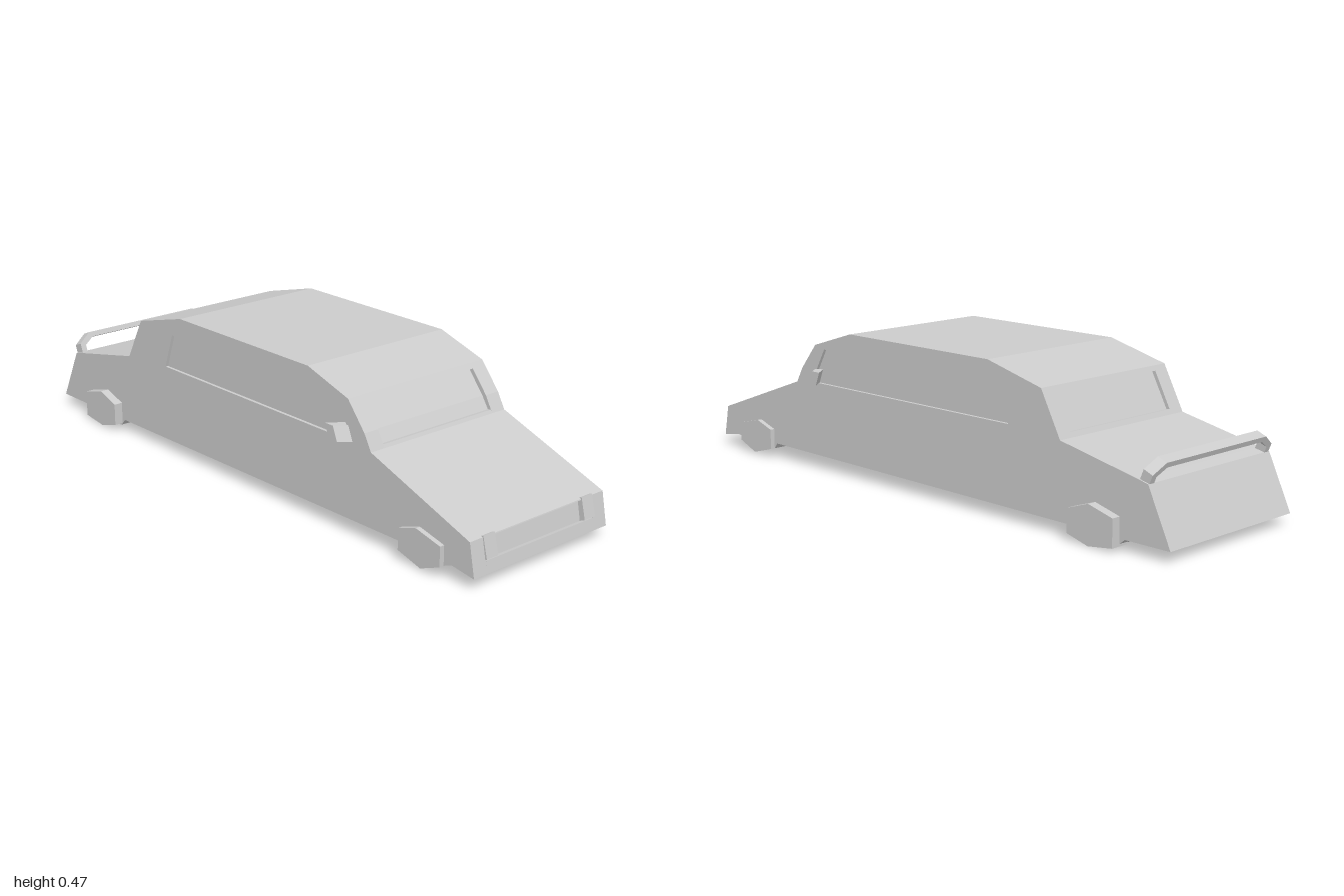
import * as THREE from 'three';

const material = new THREE.MeshStandardMaterial({ color: 0xcccccc, flatShading: true });

const toShape = (points) => new THREE.Shape(points.map(([x, y]) => new THREE.Vector2(x, y)));

// Extrudes a side outline (x, y) between two z positions
function slab(name, points, z0, z1, hole) {
  const shape = toShape(points);
  if (hole) shape.holes.push(toShape(hole));
  const geometry = new THREE.ExtrudeGeometry(shape, { depth: z1 - z0, bevelEnabled: false });
  geometry.translate(0, 0, z0);
  const mesh = new THREE.Mesh(geometry, material);
  mesh.name = name;
  return mesh;
}

// Same slab on the given side of the car (+1 left in z, -1 opposite)
const sideSlab = (name, points, side, inner, outer, hole) =>
  slab(name, points, side > 0 ? inner : -outer, side > 0 ? outer : -inner, hole);

// Underside, from tail to nose, dipping around both axles
const underside = [
  [-1, 0.035], [-0.84, 0.035], [-0.815, 0.015], [-0.73, 0.003], [-0.655, 0.015], [-0.635, 0.037],
  [0.705, 0.049], [0.72, 0.03], [0.81, 0.007], [0.885, 0.035], [0.915, 0.047], [1, 0.035],
];
const roof = [[0.49, 0.415], [0.315, 0.47], [-0.305, 0.47], [-0.52, 0.415]];
const tail = [[-0.595, 0.275], [-0.885, 0.215], [-0.918, 0.207]];

const fullProfile = [
  ...underside, [0.98, 0.138], [0.588, 0.28], [0.56, 0.33], ...roof, ...tail,
];
// Middle section has the grille, windscreen and rear window sunk in
const sunkProfile = [
  ...underside,
  [0.993, 0.072], [0.98, 0.07], [0.968, 0.132], [0.981, 0.135], [0.98, 0.138],
  [0.588, 0.28], [0.582, 0.29], [0.57, 0.288], [0.546, 0.325], [0.488, 0.396], [0.502, 0.4],
  ...roof,
  [-0.528, 0.4], [-0.516, 0.397], [-0.575, 0.288], [-0.587, 0.29],
  ...tail,
];
const sideWindow = [[-0.39, 0.29], [-0.35, 0.405], [0.445, 0.405], [0.51, 0.29]];

const rearWheel = [
  [-0.82, 0.098], [-0.73, 0.122], [-0.65, 0.095], [-0.65, 0.022], [-0.73, 0], [-0.82, 0.012],
];
const frontWheel = [
  [0.72, 0.097], [0.79, 0.12], [0.885, 0.097], [0.885, 0.035], [0.81, 0.005], [0.72, 0.03],
];
const headlight = [[0.966, 0.138], [0.982, 0.143], [0.998, 0.078], [0.98, 0.07]];

// Wing mirror: plan outline raised to height, leaning backwards
function wingMirror(side) {
  const plan = [[0.44, 0.31], [0.475, 0.31], [0.51, 0.265], [0.475, 0.265]];
  const shape = toShape(plan.map(([x, z]) => [x, -side * z]));
  const geometry = new THREE.ExtrudeGeometry(shape, { depth: 0.045, bevelEnabled: false });
  geometry.rotateX(-Math.PI / 2).translate(0, 0.29, 0);
  const p = geometry.attributes.position;
  for (let i = 0; i < p.count; i++) p.setX(i, p.getX(i) - (p.getY(i) - 0.31) * 0.4);
  const mesh = new THREE.Mesh(geometry, material);
  mesh.name = 'wingMirror';
  return mesh;
}

// Rear wing: an arch with cut corners, tilted back over the tail
function rearWing() {
  const arch = (w, c, h, base) => [[-w, base], [-w, h * 0.5], [-c, h], [c, h], [w, h * 0.5], [w, base]];
  const outline = [...arch(0.27, 0.225, 0.065, -0.01), ...arch(0.25, 0.215, 0.048, -0.01).reverse()];
  const geometry = new THREE.ExtrudeGeometry(toShape(outline), { depth: 0.034, bevelEnabled: false });
  const across = new THREE.Vector3(0, 0, 1);
  const up = new THREE.Vector3(-0.38, 0.92, 0).normalize();
  const back = new THREE.Vector3().crossVectors(across, up);
  geometry.applyMatrix4(new THREE.Matrix4().makeBasis(across, up, back));
  geometry.translate(-0.885, 0.215, 0);
  const mesh = new THREE.Mesh(geometry, material);
  mesh.name = 'rearWing';
  return mesh;
}

export function createModel() {
  const car = new THREE.Group();
  car.name = 'car';
  car.add(slab('bodyCentre', sunkProfile, -0.222, 0.222), rearWing());
  for (const side of [1, -1]) {
    car.add(
      sideSlab('bodySide', fullProfile, side, 0.222, 0.265),
      sideSlab('sidePanel', fullProfile, side, 0.265, 0.275, sideWindow),
      sideSlab('rearWheel', rearWheel, side, 0.24, 0.305),
      sideSlab('frontWheel', frontWheel, side, 0.24, 0.291),
      sideSlab('headlight', headlight, side, 0.18, 0.225),
      wingMirror(side),
    );
  }
  return car;
}
